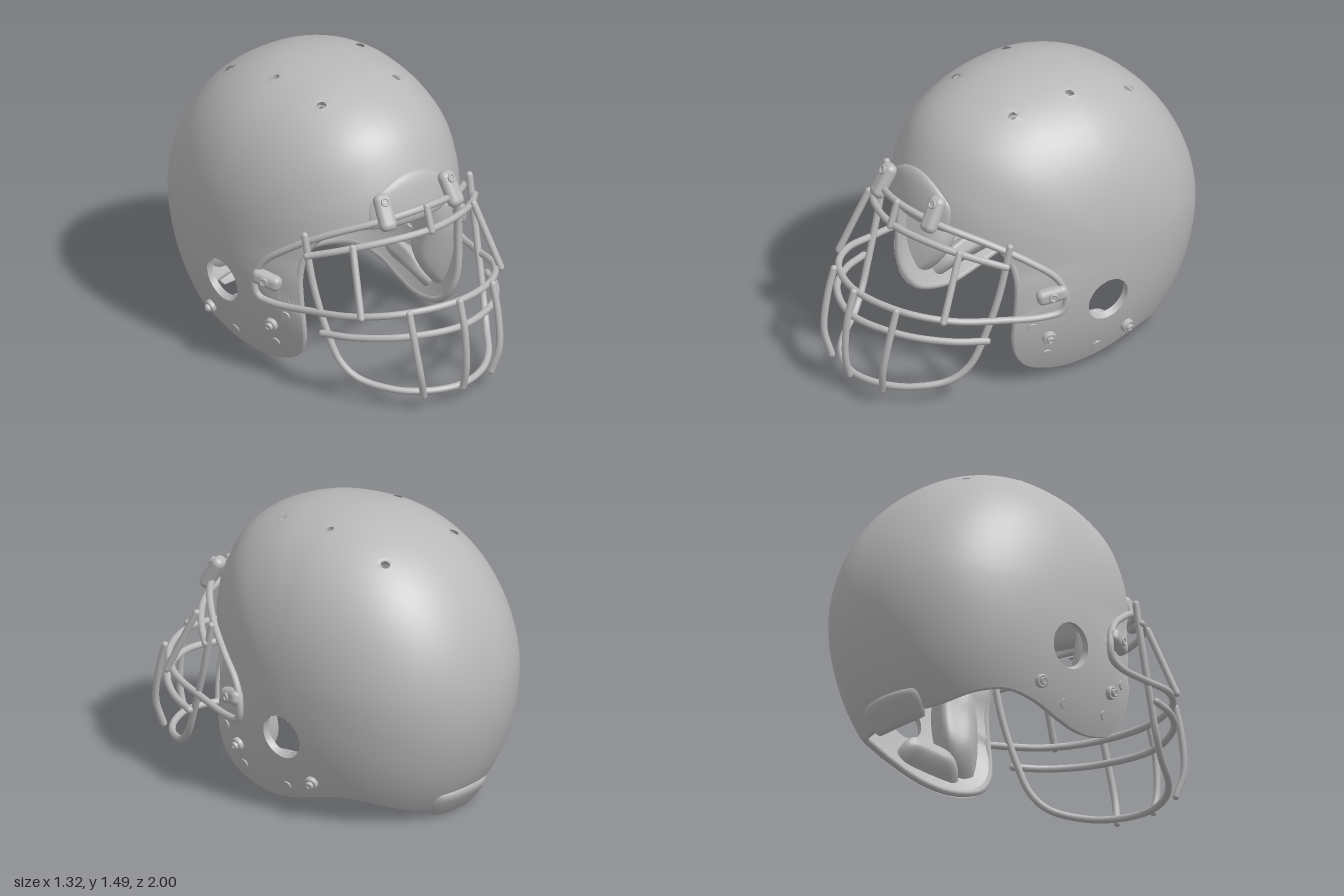
import * as THREE from 'three';
import { RoundedBoxGeometry } from 'three/addons/geometries/RoundedBoxGeometry.js';

const V = (x, y, z) => new THREE.Vector3(x, y, z);
const rad = THREE.MathUtils.degToRad;
const C = V(0, 0.72, -0.22);   // centre of the dome
const HALF = 0.65;             // half width of the dome
const THICK = 0.95;            // inner skin scale

// Side outline of the dome in polar form: degrees from the front, radius
const outline = [[-45, 1.1], [-15, 0.9], [0, 0.815], [26, 0.845], [43.6, 0.86], [64, 0.818], [85, 0.778],
  [121.4, 0.76], [152, 0.755], [180, 0.78], [203, 0.815], [220.5, 0.862], [245, 0.94], [270, 1.02],
  [315, 1.1], [345, 0.9]].map(p => new THREE.Vector2(...p));
const samples = new THREE.SplineCurve(outline).getPoints(600);
function sideRadius(z, y) {
  let a = THREE.MathUtils.radToDeg(Math.atan2(y, z));
  if (a < -30) a += 360;
  const i = Math.max(1, samples.findIndex(s => s.x >= a));
  const p = samples[i - 1], q = samples[i];
  return p.y + (q.y - p.y) * (a - p.x) / (q.x - p.x);
}
// Cross-sections are round at the front and below, slightly boxy elsewhere
function boxiness(z, y) {
  const r = Math.max(Math.hypot(z, y), 1e-6);
  return 2.27 - 0.25 * Math.max(0, z / r) - 0.14 * Math.max(0, -y / r);
}
// Point of the dome along a direction from its centre
function onDome(d, scale = 1) {
  const n = d.clone().normalize();
  const m = Math.hypot(n.y, n.z) / sideRadius(n.z, n.y), e = boxiness(n.z, n.y);
  return n.multiplyScalar(scale / (m ** e + (Math.abs(n.x) / HALF) ** e) ** (1 / e)).add(C);
}
// Point of the dome's left side at a given z and y
function sidePoint(z, y) {
  const dz = z - C.z, dy = y - C.y, e = boxiness(dz, dy);
  const k = Math.hypot(dz, dy) / sideRadius(dz, dy);
  return V(HALF * Math.max(0, 1 - k ** e) ** (1 / e), y, z);
}
function sideNormal(z, y) {
  const e = 0.01;
  return V(1, -(sidePoint(z, y + e).x - sidePoint(z, y - e).x) / (2 * e),
    -(sidePoint(z + e, y).x - sidePoint(z - e, y).x) / (2 * e)).normalize();
}
const inward = p => p.clone().sub(C).multiplyScalar(THICK).add(C);

function surface(points, index) {
  const g = new THREE.BufferGeometry().setFromPoints(points);
  g.setIndex(index);
  g.computeVertexNormals();
  return g;
}
// Indices of a grid of rows x cols cells, with stride cols + 1
function gridIndex(rows, cols, keep = () => true) {
  const out = [];
  for (let r = 0; r < rows; r++) for (let c = 0; c < cols; c++) {
    const a = r * (cols + 1) + c, b = a + 1, d = a + cols + 1, e = d + 1;
    for (const t of [[a, d, b], [b, d, e]]) if (keep(t)) out.push(...t);
  }
  return out;
}
const mirrorX = p => V(-p.x, p.y, p.z);
// Extends a half path, starting at x = 0, across the middle
const bothSides = pts => [...pts.slice(1).reverse().map(mirrorX), ...pts];

export function createModel() {
  const helmet = new THREE.Group();
  helmet.name = 'helmet';
  const grey = new THREE.MeshStandardMaterial({ color: 0xb8b8b8, side: THREE.DoubleSide });
  grey.name = 'grey';
  const add = (name, geometry, parent = helmet) => {
    const m = new THREE.Mesh(geometry, grey);
    m.name = name;
    parent.add(m);
    return m;
  };

  // Lower edge of the shell: brow, cheek flap, ear notch, nape (z, y)
  const half = [[0.53, 0.89], [0.42, 0.87], [0.325, 0.75], [0.3, 0.61], [0.305, 0.45], [0.31, 0.3],
    [0.285, 0.2], [0.22, 0.117], [0.11, 0.07], [-0.02, 0.053], [-0.18, 0.075], [-0.34, 0.12],
    [-0.5, 0.144], [-0.635, 0.117], [-0.74, 0.065]].map(p => sidePoint(...p));
  const brow = onDome(V(0, 0.17, 0.79)), nape = onDome(V(0, -0.675, -0.6));
  const edge = new THREE.CatmullRomCurve3(
    [brow, ...half, nape, ...half.map(mirrorX).reverse()], true);

  // Shell: rows fan out from a pole at the upper back to the edge
  const ROWS = 90, COLS = 200, pole = V(0, 0.8, -0.6);
  const EAR = { z: -0.18, y: 0.432, r: 0.117 };
  const vents = [[0.27, -0.56], [0.27, -0.2], [0.24, 0.13]].flatMap(([x, z]) => [[x, z], [-x, z]]);
  const VENT = 0.025, outer = [], cut = [];
  const rim = edge.getSpacedPoints(COLS).map(p => p.sub(C).normalize());
  for (let r = 0; r <= ROWS; r++) for (let c = 0; c <= COLS; c++) {
    const axis = pole.clone().cross(rim[c]).normalize();
    const p = onDome(pole.clone().applyAxisAngle(axis, pole.angleTo(rim[c]) * Math.max(r, 0.001) / ROWS));
    let inside = false;
    // Vertices inside a hole move out to its border
    const d = Math.hypot(p.z - EAR.z, p.y - EAR.y);
    if (Math.abs(p.x) > 0.4 && d < EAR.r) {
      inside = true;
      const s = Math.sign(p.x), k = EAR.r / Math.max(d, 1e-4);
      p.copy(sidePoint(EAR.z + (p.z - EAR.z) * k, EAR.y + (p.y - EAR.y) * k));
      p.x *= s;
    }
    for (const [x, z] of vents) {
      const e = Math.hypot(p.x - x, p.z - z);
      if (p.y > 1.1 && e < VENT) {
        inside = true;
        p.x = x + (p.x - x) * VENT / Math.max(e, 1e-4);
        p.z = z + (p.z - z) * VENT / Math.max(e, 1e-4);
      }
    }
    outer.push(p);
    cut.push(inside);
  }
  const index = gridIndex(ROWS, COLS, t => !t.every(i => cut[i]));
  add('shell', surface(outer, index));
  add('shellInside', surface(outer.map(inward), index));
  const bead = new THREE.CatmullRomCurve3(edge.getSpacedPoints(120).slice(0, -1)
    .map(p => p.sub(C).multiplyScalar(0.975).add(C)), true);
  add('shellEdge', new THREE.TubeGeometry(bead, 240, 0.019, 8, true));

  // Walls of the ear holes and of the vents
  for (const s of [1, -1]) {
    const ring = Array.from({ length: 49 }, (_, i) => {
      const a = i / 48 * Math.PI * 2;
      const p = sidePoint(EAR.z + EAR.r * Math.cos(a), EAR.y + EAR.r * Math.sin(a));
      return s > 0 ? p : mirrorX(p);
    });
    add('earHoleWall', surface([...ring, ...ring.map(inward)], gridIndex(1, 48)));
  }
  for (const [x, z] of vents) {
    let p = V(x, 1.4, z);
    for (let i = 0; i < 6; i++) {
      p = onDome(p.sub(C));
      p.x = x; p.z = z;
    }
    const n = p.clone().sub(C).normalize();
    const wall = add('ventWall', new THREE.CylinderGeometry(VENT, VENT, 0.03, 16, 1, true));
    wall.position.copy(p).addScaledVector(n, -0.026);
    wall.quaternion.setFromUnitVectors(V(0, 1, 0), n);
  }

  // Cushion lying on the dome; longitudes run from the front to the left side,
  // and arch lowers the upper corners
  function pad(name, lon0, lon1, lat0, lat1, base, rise, round = 0.4, arch = 0) {
    const n = 20, pts = [];
    for (let i = 0; i <= n; i++) for (let j = 0; j <= n; j++) {
      const u = Math.sin((j / n - 0.5) * Math.PI), v = Math.sin((i / n - 0.5) * Math.PI);
      const lon = rad((lon0 + lon1) / 2 + (lon1 - lon0) / 2 * u * Math.sqrt(1 - round * v * v / 2));
      const lat = rad((lat0 + lat1) / 2 + (lat1 - lat0) / 2 * v * Math.sqrt(1 - round * u * u / 2)
        - arch * u * u * (v + 1) / 2);
      const h = Math.sqrt(Math.max(0, (1 - u ** 6) * (1 - v ** 6)));
      pts.push(onDome(V(Math.sin(lon) * Math.cos(lat), Math.sin(lat), Math.cos(lon) * Math.cos(lat)),
        base + rise * h));
    }
    return add(name, surface(pts, gridIndex(n, n)));
  }
  for (const s of [1, -1]) {
    const at = (name, a, b, lat0, lat1, rise, round) => pad(name, s * a, s * b, lat0, lat1, 0.95, rise, round);
    at('backPad', 157.5, 177.5, -47, -2.5, -0.11);
    at('backSidePad', 136, 154, -39, -2.5, -0.11);
    at('upperBackPad', 161, 177.5, 1, 28, -0.1);
    at('upperSidePad', 139, 157, 1, 28, -0.1);
    at('cheekPad', 48, 70, -43, -3, -0.19, 0.7);
    at('jawPad', 58, 97, -48, -40, -0.13, 0.7);
  }
  pad('browPad', -27, 27, 13, 36, 0.95, -0.08);
  pad('browPlate', -19, 19, 10.5, 28.5, 0.99, 0.033, 0.2, 7);
  pad('napeBumper', 161, 199, -52.5, -41, 0.985, 0.04, 0.4);

  // Face cage
  const cage = new THREE.Group();
  cage.name = 'faceCage';
  helmet.add(cage);
  function bar(name, pts, closed = false) {
    const path = new THREE.CatmullRomCurve3(pts, closed);
    add(name, new THREE.TubeGeometry(path, pts.length * 10, 0.018, 10, closed), cage);
    if (!closed) for (const p of [pts[0], pts[pts.length - 1]])
      add(name + 'End', new THREE.SphereGeometry(0.018, 10, 8), cage).position.copy(p);
  }
  const list = a => a.map(p => V(...p));
  const loop = list([[0, 0.97, 0.65], [0.23, 0.94, 0.59], [0.43, 0.86, 0.42], [0.55, 0.75, 0.245],
    [0.61, 0.64, 0.12], [0.63, 0.53, 0.08], [0.62, 0.457, 0.1], [0.59, 0.438, 0.19], [0.53, 0.46, 0.4],
    [0.45, 0.498, 0.64], [0.28, 0.53, 0.82], [0, 0.545, 0.905]]);
  bar('mainLoop', [...loop, ...loop.slice(1, -1).reverse().map(mirrorX)], true);
  bar('upperBar', bothSides(list([[0, 0.86, 0.69], [0.25, 0.84, 0.62], [0.42, 0.8, 0.5], [0.535, 0.76, 0.38]])));
  bar('mouthBar', bothSides(list([[0, 0.415, 0.93], [0.28, 0.405, 0.83], [0.45, 0.385, 0.65], [0.525, 0.37, 0.49]])));
  bar('chinBar', bothSides(list([[0, 0.09, 0.93], [0.17, 0.09, 0.88], [0.3, 0.1, 0.78], [0.41, 0.14, 0.63],
    [0.46, 0.22, 0.55], [0.49, 0.37, 0.485], [0.515, 0.6, 0.41], [0.525, 0.86, 0.35]])));
  bar('middleBar', list([[0, 0.555, 0.93], [0, 0.4, 0.97], [0, 0.2, 0.98], [0, 0.09, 0.955]]));
  bar('browStub', list([[0, 0.98, 0.665], [0, 0.86, 0.705]]));
  for (const s of [1, -1]) {
    bar('frontBar', list([[s * 0.265, 0.54, 0.86], [s * 0.265, 0.4, 0.9], [s * 0.25, 0.22, 0.93], [s * 0.215, 0.09, 0.91]]));
    bar('slantBar', list([[s * 0.385, 0.83, 0.56], [s * 0.445, 0.51, 0.7]]));
  }

  // Fittings face along their local z
  function fitting(name, position, normal) {
    const g = new THREE.Group();
    g.name = name;
    g.position.copy(position);
    g.lookAt(position.clone().add(normal));
    helmet.add(g);
    return g;
  }
  function screw(g, r, z, height, y = 0) {
    add('screwHead', new THREE.CylinderGeometry(r, r, height, 20).rotateX(Math.PI / 2), g).position.set(0, y, z);
    add('screwRing', new THREE.TorusGeometry(r * 0.75, r * 0.25, 8, 20), g).position.set(0, y, z + height / 2);
  }
  for (const s of [1, -1]) {
    const flip = v => s > 0 ? v : mirrorX(v);
    const browClip = fitting('browClip', flip(V(0.21, 0.985, 0.595)), flip(V(0.15, 0.5, 0.85)));
    add('clipBody', new RoundedBoxGeometry(0.09, 0.19, 0.07, 4, 0.033), browClip);
    screw(browClip, 0.024, 0.03, 0.014, 0.05);

    const sideClip = fitting('sideClip', flip(V(0.605, 0.56, 0.15)), flip(V(0.92, 0, 0.4)));
    const body = add('clipBody', new RoundedBoxGeometry(0.16, 0.08, 0.07, 4, 0.03), sideClip);
    body.rotation.z = s * 0.2;
    screw(sideClip, 0.024, 0.03, 0.014);

    // Chin strap studs and flat rivets on the cheek flaps
    for (const [z, y] of [[0.14, 0.295], [-0.33, 0.21]]) {
      const g = fitting('strapStud', flip(sidePoint(z, y)), flip(sideNormal(z, y)));
      screw(g, 0.035, 0.005, 0.02);
      screw(g, 0.02, 0.022, 0.024);
    }
    for (const [z, y] of [[0.23, 0.37], [0.13, 0.18], [-0.16, 0.145]]) {
      const g = fitting('rivet', flip(sidePoint(z, y)), flip(sideNormal(z, y)));
      add('rivetHead', new THREE.CylinderGeometry(0.023, 0.027, 0.012, 20).rotateX(Math.PI / 2), g);
    }
  }
  return helmet;
}
